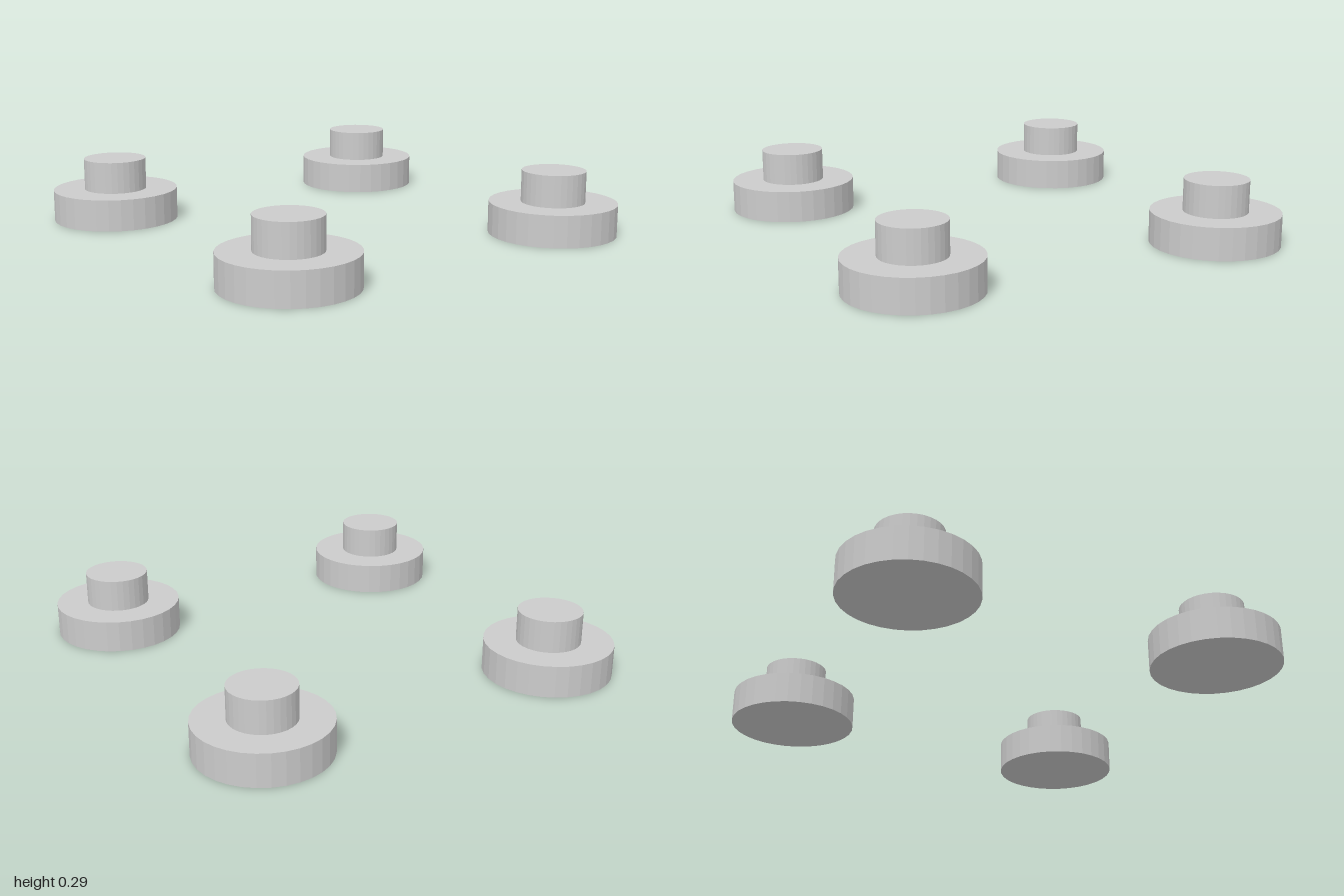
import * as THREE from 'three';

const SIDES = 32;
const BASE_RADIUS = 0.285;
const PEG_RADIUS = 0.142;
const STEP = 0.143; // height of the base and of the peg
const OFFSET = 1 - BASE_RADIUS; // foot centre, along x and z

export function createModel() {
  const model = new THREE.Group();
  model.name = 'feet';
  const material = new THREE.MeshStandardMaterial({ color: 0xcccccc, flatShading: true });
  const baseGeometry = new THREE.CylinderGeometry(BASE_RADIUS, BASE_RADIUS, STEP, SIDES);
  const pegGeometry = new THREE.CylinderGeometry(PEG_RADIUS, PEG_RADIUS, STEP, SIDES);

  // One stepped foot at each corner of a square
  for (const [zName, z] of [['front', 1], ['back', -1]]) {
    for (const [xName, x] of [['Left', 1], ['Right', -1]]) {
      const foot = new THREE.Group();
      foot.name = `${zName}${xName}Foot`;
      foot.position.set(x * OFFSET, 0, z * OFFSET);

      // Wide disc on the ground
      const base = new THREE.Mesh(baseGeometry, material);
      base.name = 'base';
      base.position.y = STEP / 2;

      // Narrow peg on top of the disc
      const peg = new THREE.Mesh(pegGeometry, material);
      peg.name = 'peg';
      peg.position.y = STEP * 1.5;

      foot.add(base, peg);
      model.add(foot);
    }
  }
  return model;
}
